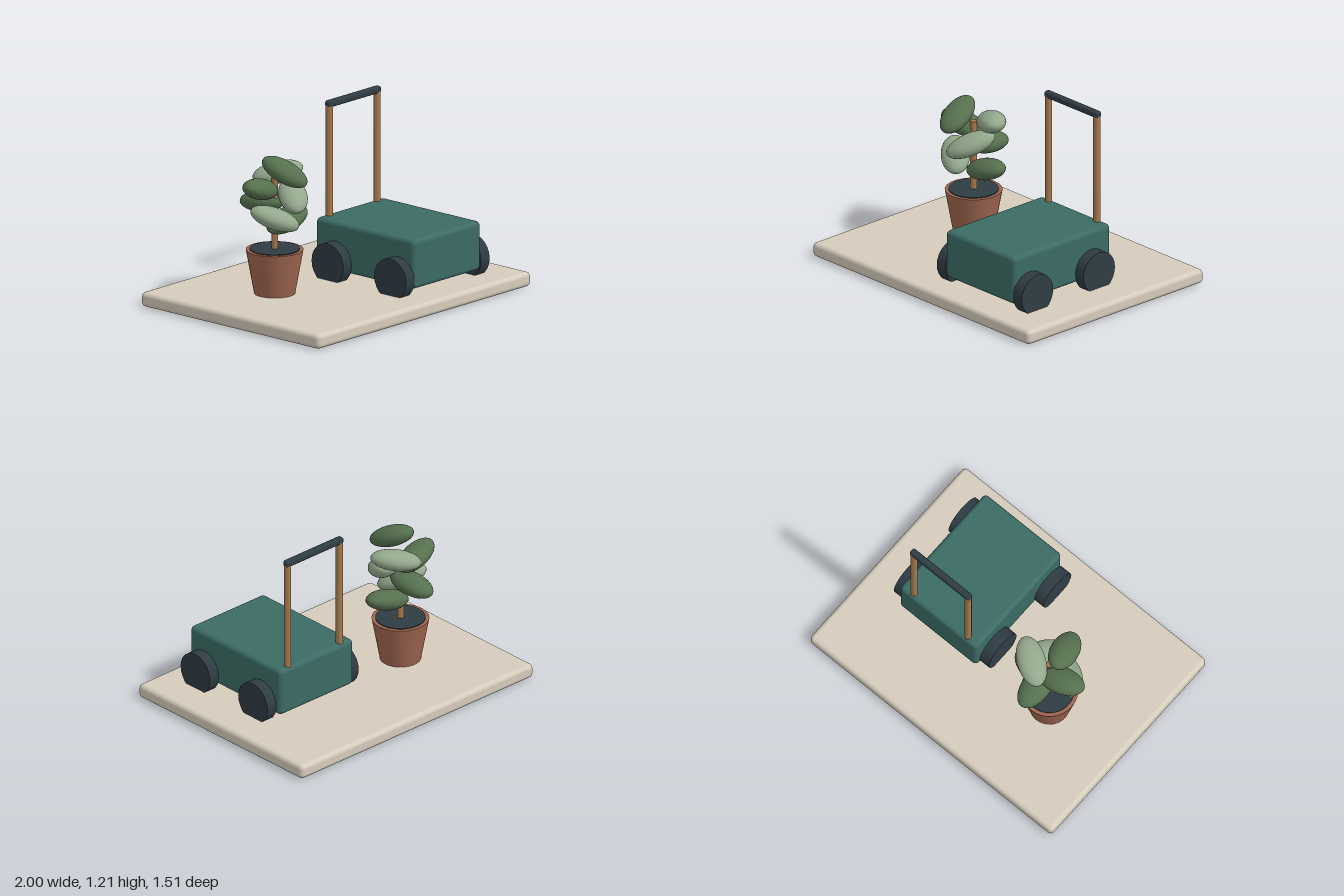
import * as THREE from 'three';
import { RoundedBoxGeometry } from 'three/addons/geometries/RoundedBoxGeometry.js';

const paint = (color) => new THREE.MeshStandardMaterial({ color });
const stone = paint(0xd6ccbc), teal = paint(0x3c6b65), dark = paint(0x2f3c44), wood = paint(0xa67a4e);
const clay = paint(0x9f6650), darkLeaf = paint(0x56714f), paleLeaf = paint(0x93a88c);

function add(parent, name, geometry, material, x, y, z) {
  const mesh = new THREE.Mesh(geometry, material);
  mesh.name = name;
  mesh.position.set(x, y, z);
  parent.add(mesh);
  return mesh;
}

// Wheeled cart with an upright push handle
function createCart() {
  const cart = new THREE.Group();
  cart.name = 'cart';
  add(cart, 'cartBody', new RoundedBoxGeometry(0.635, 0.32, 0.835, 4, 0.03), teal, 0, 0.3, 0.183);

  const wheel = new THREE.CylinderGeometry(0.135, 0.135, 0.08, 24).rotateZ(Math.PI / 2);
  const post = new THREE.CylinderGeometry(0.023, 0.023, 0.77, 16);
  for (const side of [-1, 1]) {
    for (const z of [0.467, -0.063]) add(cart, 'wheel', wheel, dark, side * 0.352, 0.2, z);
    add(cart, 'handlePost', post, wood, side * 0.223, 0.805, -0.2);
  }
  add(cart, 'handleGrip', new RoundedBoxGeometry(0.492, 0.045, 0.046, 3, 0.016), dark, 0, 1.187, -0.2);
  return cart;
}

// Potted plant with leaves spiralling up the stem
function createPlant() {
  const plant = new THREE.Group();
  plant.name = 'pottedPlant';
  add(plant, 'pot', new THREE.CylinderGeometry(0.182, 0.13, 0.285, 32), clay, 0, 0.2375, 0);
  add(plant, 'soil', new THREE.CylinderGeometry(0.158, 0.158, 0.02, 32), dark, 0, 0.376, 0);
  add(plant, 'stem', new THREE.CylinderGeometry(0.022, 0.022, 0.47, 14), wood, 0, 0.61, 0);

  const leaf = new THREE.SphereGeometry(0.11, 28, 18).scale(1.5, 0.6, 0.84);
  for (let i = 0; i < 7; i++) {
    const angle = THREE.MathUtils.degToRad(i * 137.5);
    const mesh = add(plant, 'leaf', leaf, i % 2 ? paleLeaf : darkLeaf,
      Math.cos(angle) * 0.115, 0.55 + i * 0.06, Math.sin(angle) * 0.115);
    mesh.rotation.set(0.15, angle, 0.27);
  }
  return plant;
}

export function createModel() {
  const model = new THREE.Group();
  model.name = 'cartAndPlant';
  add(model, 'base', new RoundedBoxGeometry(2, 0.095, 1.51, 4, 0.03), stone, 0, 0.0475, 0);

  const cart = createCart();
  cart.position.x = 0.382;
  const plant = createPlant();
  plant.position.set(-0.444, 0, -0.118);
  model.add(cart, plant);
  return model;
}
